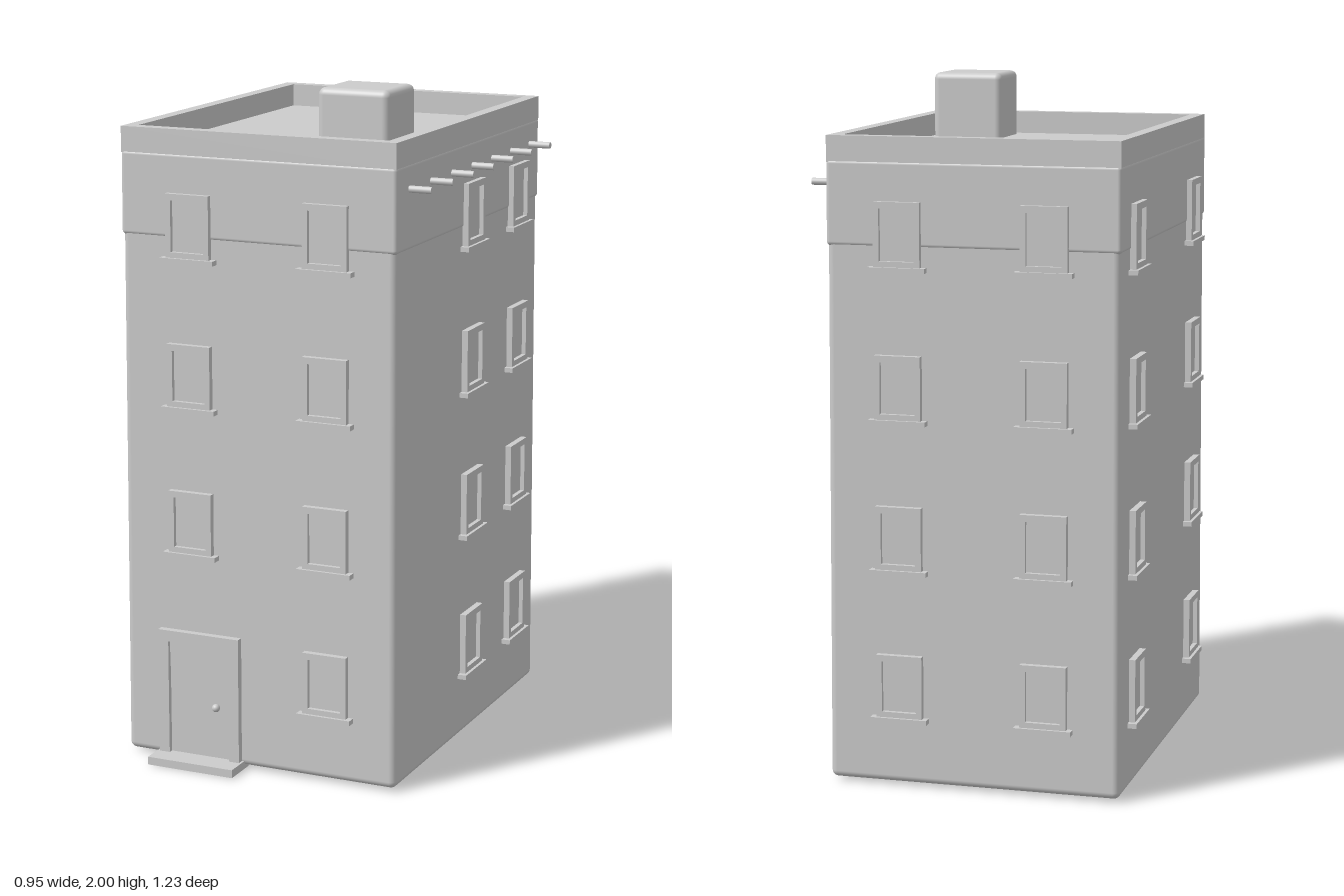
import * as THREE from 'three';
import { RoundedBoxGeometry } from 'three/addons/geometries/RoundedBoxGeometry.js';

const material = new THREE.MeshStandardMaterial({ color: 0xcccccc });
const CX = -0.02, CZ = -0.028;          // centre of the tower
const HX = 0.43, HZ = 0.562;            // half sizes at the ground
const lean = (y) => 0.004 * y;          // walls lean in slightly with height

function add(parent, name, geometry, x = 0, y = 0, z = 0) {
  const mesh = new THREE.Mesh(geometry, material);
  mesh.name = name;
  mesh.position.set(x, y, z);
  parent.add(mesh);
  return mesh;
}

const box = (w, h, d) => new THREE.BoxGeometry(w, h, d);

// Rounded wall block between two heights, tapered by the lean rule
function wallBlock(y0, y1, radius, proud) {
  const g = new RoundedBoxGeometry(2 * (HX + proud), y1 - y0, 2 * (HZ + proud), 4, radius);
  g.translate(0, (y0 + y1) / 2, 0);
  const p = g.attributes.position;
  for (let i = 0; i < p.count; i++) {
    const inset = lean(p.getY(i));
    p.setX(i, p.getX(i) * (1 - inset / HX));
    p.setZ(i, p.getZ(i) * (1 - inset / HZ));
  }
  return g;
}

function rect(T, x0, y0, x1, y1) {
  const r = new T();
  r.moveTo(x0, y0);
  r.lineTo(x1, y0);
  r.lineTo(x1, y1);
  r.lineTo(x0, y1);
  r.closePath();
  return r;
}

// Rectangular ring extruded along +z
function ring(outer, inner, depth) {
  const s = rect(THREE.Shape, ...outer);
  s.holes.push(rect(THREE.Path, ...inner));
  return new THREE.ExtrudeGeometry(s, { depth, bevelEnabled: false });
}

// Window in local space: wall plane at z = 0, facing +z, origin at the sill's base
const frameGeometry = ring([-0.068, 0.012, 0.068, 0.197], [-0.051, 0.03, 0.051, 0.178], 0.03);
const sillGeometry = box(0.168, 0.014, 0.042);
const paneGeometry = box(0.106, 0.152, 0.02);
function makeWindow() {
  const w = new THREE.Group();
  w.name = 'window';
  add(w, 'windowFrame', frameGeometry, 0, 0, -0.012);
  add(w, 'windowSill', sillGeometry, 0, 0.007, 0.006);
  add(w, 'windowPane', paneGeometry, 0, 0.104, -0.005);
  return w;
}

export function createModel() {
  const building = new THREE.Group();
  building.name = 'building';

  // Walls and the slightly proud top-storey band
  add(building, 'walls', wallBlock(0.01, 1.59, 0.02, 0), CX, 0, CZ);
  add(building, 'topStoreyBand', wallBlock(1.56, 1.803, 0.012, 0.003), CX, 0, CZ);

  // Parapet around the flat roof
  const px = 0.424, pz = 0.556, t = 0.038;
  const parapet = ring([-px, -pz, px, pz], [-px + t, -pz + t, px - t, pz - t], 0.075);
  parapet.rotateX(-Math.PI / 2);
  add(building, 'parapet', parapet, CX, 1.795, CZ);

  // Rooftop block
  add(building, 'chimney', new RoundedBoxGeometry(0.215, 0.22, 0.198, 4, 0.02), 0.242, 1.89, 0.36);

  // Windows: [wall name, turn, positions along the wall]
  const sides = [
    ['front', 0, [-0.23, 0.195]],
    ['back', Math.PI, [-0.23, 0.195]],
    ['east', Math.PI / 2, [-0.4, -0.032]],
    ['west', -Math.PI / 2, [-0.403, 0.335]],
  ];
  for (const [side, turn, spots] of sides) {
    for (const at of spots) {
      for (let row = 0; row < 4; row++) {
        if (side === 'front' && row === 0 && at < 0) continue; // door goes here
        const y = 0.193 + row * 0.433;
        const w = makeWindow();
        w.name = side + 'Window';
        w.rotation.y = turn;
        const nx = Math.round(Math.sin(turn)), nz = Math.round(Math.cos(turn));
        const x = nx ? CX + nx * (HX - lean(y)) : at;
        const z = nz ? CZ + nz * (HZ - lean(y)) : at;
        w.position.set(x, y, z);
        building.add(w);
      }
    }
  }

  // Entrance: open-bottomed frame, door leaf, transom, knob and step
  const door = new THREE.Group();
  door.name = 'entrance';
  door.position.set(-0.206, 0, CZ + HZ);
  const frame = new THREE.Shape();
  const outline = [[-0.13, 0.01], [-0.13, 0.4], [0.13, 0.4], [0.13, 0.01],
    [0.097, 0.01], [0.097, 0.367], [-0.097, 0.367], [-0.097, 0.01]];
  frame.setFromPoints(outline.map(([x, y]) => new THREE.Vector2(x, y)));
  add(door, 'doorFrame', new THREE.ExtrudeGeometry(frame, { depth: 0.035, bevelEnabled: false }), 0, 0, -0.015);
  add(door, 'doorLeaf', box(0.196, 0.28, 0.02), 0, 0.15, -0.005);
  add(door, 'transom', box(0.196, 0.08, 0.02), 0, 0.328, -0.002);
  add(door, 'doorKnob', new THREE.SphereGeometry(0.012, 16, 12), 0.053, 0.18, 0.012);
  add(door, 'doorStep', box(0.274, 0.024, 0.11), 0, 0.012, 0.026);
  building.add(door);

  // Row of drain spouts under the parapet
  const spout = new THREE.CylinderGeometry(0.01, 0.01, 0.1, 16).rotateZ(Math.PI / 2);
  for (let i = 0; i < 7; i++) {
    add(building, 'drainSpout', spout, 0.423, 1.732, 0.44 - i * 0.1575);
  }

  return building;
}
